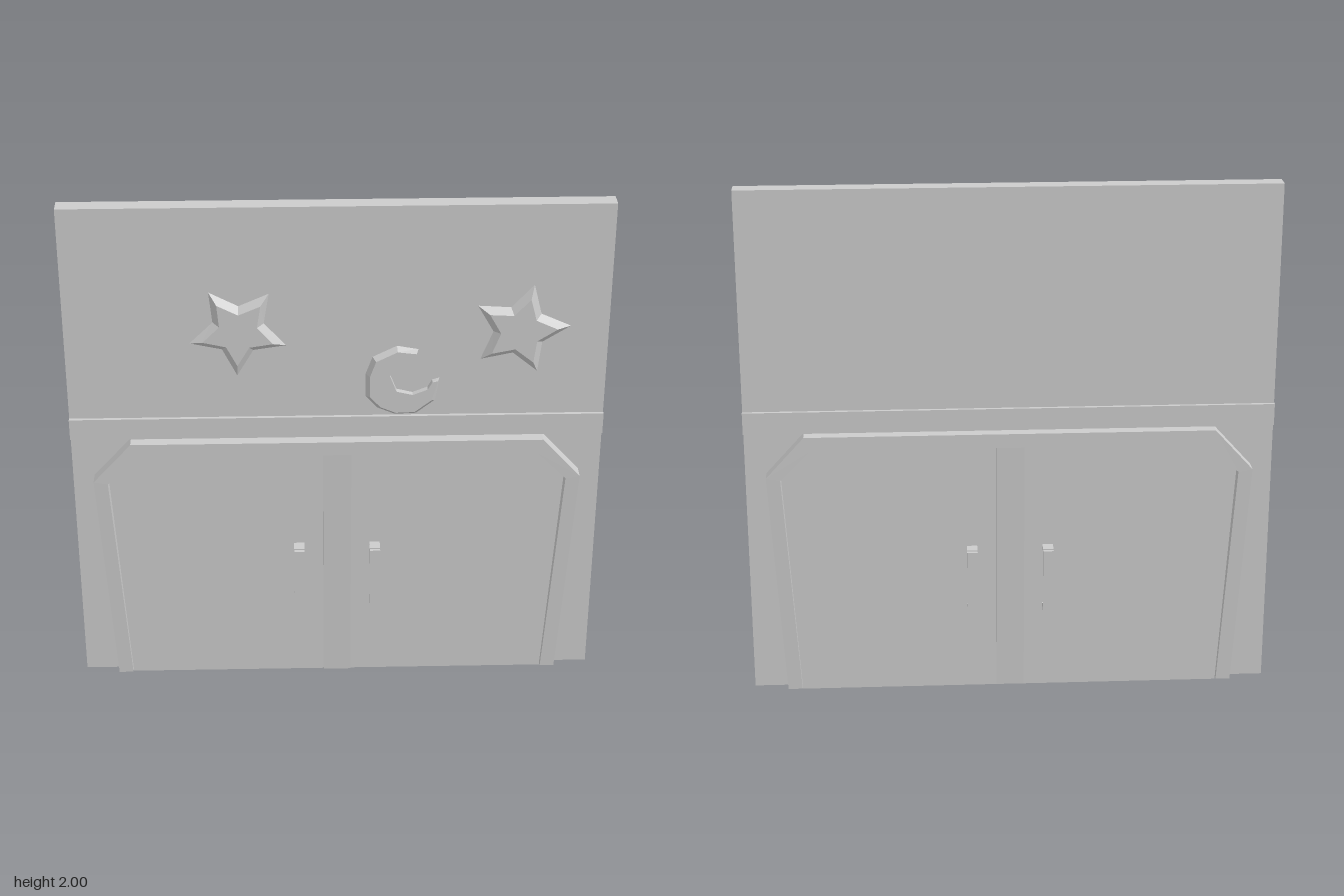
import * as THREE from 'three';

const material = new THREE.MeshStandardMaterial({ color: 0xcccccc, flatShading: true });
const points = (list) => list.map(([x, y]) => new THREE.Vector2(x, y));

function add(group, geometry, name, x = 0, y = 0, z = 0) {
  const mesh = new THREE.Mesh(geometry, material);
  mesh.name = name;
  mesh.position.set(x, y, z);
  group.add(mesh);
  return mesh;
}

// flat outline extruded evenly to both sides of z = 0
function slab(outline, halfDepth) {
  const geometry = new THREE.ExtrudeGeometry(new THREE.Shape(points(outline)), {
    depth: halfDepth * 2, bevelEnabled: false,
  });
  return geometry.translate(0, 0, -halfDepth);
}

// raised ornament: sloping walls from a base loop to a smaller top loop (both counter-clockwise)
function raised(base, top, z0, z1) {
  const n = base.length;
  const position = [];
  const index = [];
  base.forEach(([x, y]) => position.push(x, y, z0));
  top.forEach(([x, y]) => position.push(x, y, z1));
  for (let i = 0; i < n; i++) {
    const j = (i + 1) % n;
    index.push(i, j, n + j, i, n + j, n + i);
  }
  THREE.ShapeUtils.triangulateShape(points(top), []).forEach(([a, b, c]) => index.push(n + a, n + b, n + c));
  const geometry = new THREE.BufferGeometry();
  geometry.setAttribute('position', new THREE.Float32BufferAttribute(position, 3));
  geometry.setIndex(index);
  const flat = geometry.toNonIndexed();
  flat.computeVertexNormals();
  return flat;
}

function starLoop(tip, valley, turn) {
  return Array.from({ length: 10 }, (_, i) => {
    const a = turn + (i * Math.PI) / 5;
    const r = i % 2 ? valley : tip;
    return [r * Math.cos(a), r * Math.sin(a)];
  });
}

export function createModel() {
  const model = new THREE.Group();
  model.name = 'cupboardWall';

  // wall panel and the rail around it
  add(model, new THREE.BoxGeometry(1.99, 1.985, 0.064), 'wall', 0, 1.0075, 0);
  add(model, new THREE.BoxGeometry(1.992, 0.085, 0.09), 'rail', 0, 1.1125, 0);

  // door frame with two openings, thinner towards the floor
  const opening = [[0.81, 0.012], [0.862, 0.9], [0.748, 1.015], [0.053, 1.015], [0.053, 0.012]];
  const mirrored = opening.map(([x, y]) => [-x, y]).reverse();
  const frame = slab([
    [0.865, 0.012], [0.915, 0.91], [0.77, 1.07], [-0.77, 1.07], [-0.915, 0.91], [-0.865, 0.012],
    ...mirrored.slice().reverse(), ...opening.slice().reverse(),
  ], 0.088);
  const p = frame.attributes.position;
  for (let i = 0; i < p.count; i++) {
    const t = Math.min(1, p.getY(i) / 0.91);
    p.setZ(i, Math.sign(p.getZ(i)) * (0.062 + 0.026 * t));
  }
  frame.computeVertexNormals();
  add(model, frame, 'doorFrame');

  // doors, seen on both faces of the wall
  const door = opening.map(([x, y]) => [x, y < 0.1 ? 0 : y]);
  add(model, slab(door, 0.04), 'leftDoor');
  add(model, slab(door.map(([x, y]) => [-x, y]).reverse(), 0.04), 'rightDoor');

  // handles: an upright bar on two short feet
  for (const face of [1, -1]) {
    for (const side of [1, -1]) {
      const handle = new THREE.Group();
      handle.name = (face > 0 ? 'front' : 'back') + (side > 0 ? 'Left' : 'Right') + 'Handle';
      handle.position.set(side * 0.145, 0.468, 0);
      add(handle, new THREE.BoxGeometry(0.04, 0.25, 0.018), 'bar', 0, 0, face * 0.089);
      for (const end of [1, -1]) {
        add(handle, new THREE.BoxGeometry(0.04, 0.014, 0.05), 'foot', 0, end * 0.122, face * 0.06);
      }
      model.add(handle);
    }
  }

  // bevelled stars on the front
  for (const [name, x, y, degrees] of [['rightStar', -0.36, 1.515, -92], ['leftStar', 0.67, 1.505, 4]]) {
    const turn = THREE.MathUtils.degToRad(degrees);
    add(model, raised(starLoop(0.19, 0.1, turn), starLoop(0.135, 0.072, turn), 0.03, 0.056), name, x, y);
  }

  // crescent moon: bevelled outer edge, upright inner edge
  const outer = [[0.3, 1.43], [0.22, 1.445], [0.13, 1.4], [0.105, 1.33], [0.105, 1.235],
    [0.15, 1.185], [0.215, 1.157], [0.295, 1.16], [0.365, 1.215], [0.38, 1.31]];
  const inner = [[0.352, 1.302], [0.335, 1.272], [0.28, 1.25], [0.22, 1.265], [0.195, 1.33], [0.215, 1.38], [0.28, 1.4]];
  const inset = outer.map(([x, y]) => [0.24 + (x - 0.24) * 0.88, 1.31 + (y - 1.31) * 0.88]);
  inset[0] = [0.292, 1.42];
  inset[9] = [0.372, 1.306];
  add(model, raised([...outer, ...inner], [...inset, ...inner], 0.03, 0.056), 'moon');

  return model;
}
